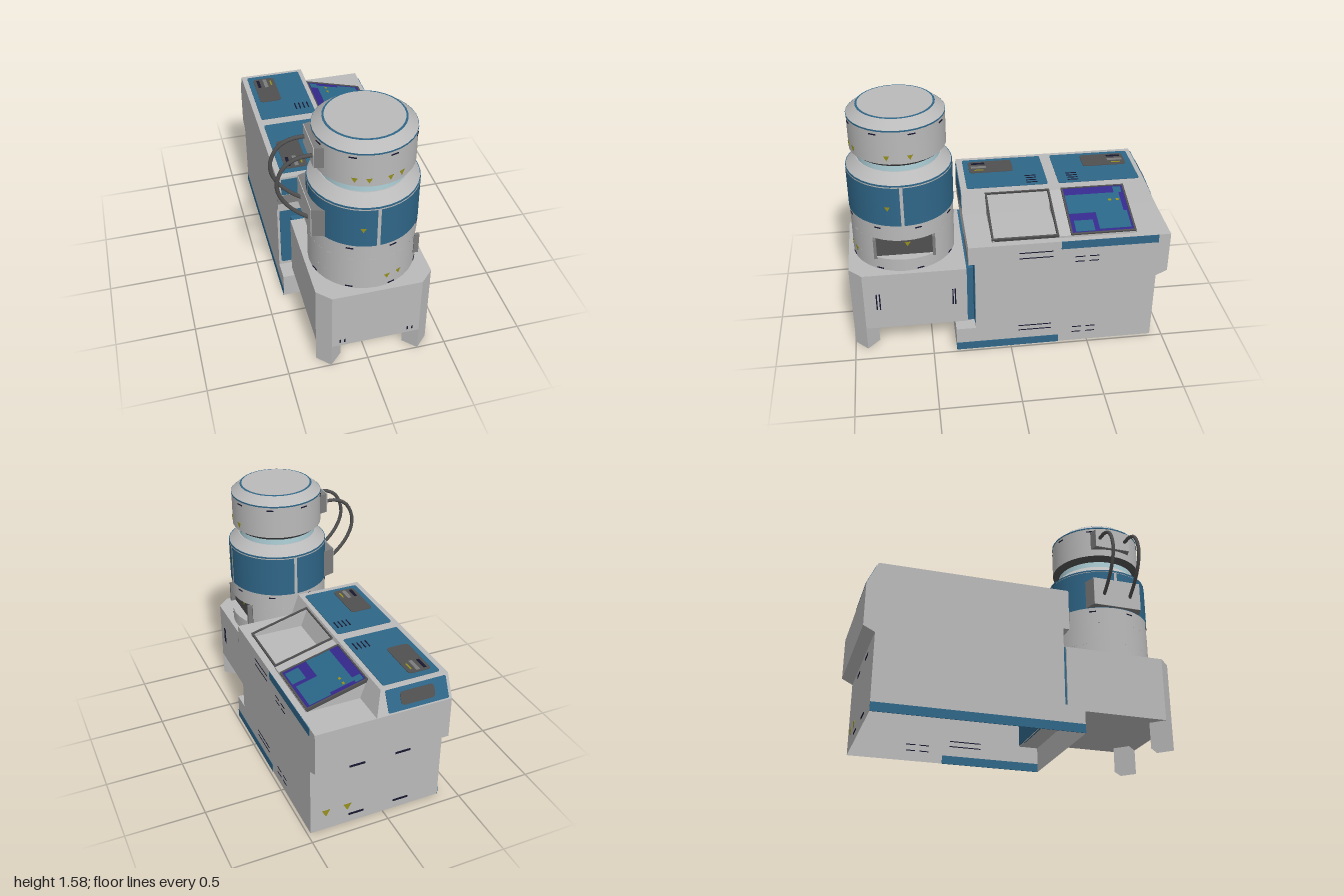
import * as THREE from 'three';

const mat = (name, color, side = THREE.FrontSide) => {
  const m = new THREE.MeshStandardMaterial({ color, side });
  m.name = name;
  return m;
};

export function createModel() {
  const D = THREE.DoubleSide;
  const grey = mat('lightGrey', 0xbababa, D);
  const mid = mat('midGrey', 0x7c7c7c);
  const dark = mat('darkGrey', 0x505050, D);
  const blue = mat('panelBlue', 0x2f6688, D);
  const cyan = mat('paleCyan', 0xb0d2da);
  const purple = mat('screenPurple', 0x35288c);
  const teal = mat('screenTeal', 0x2a6688);
  const yellow = mat('warningYellow', 0x96901c);
  const navy = mat('ventNavy', 0x17172f);

  const root = new THREE.Group();
  root.name = 'labMachine';
  const add = (name, geo, m, parent = root) => {
    const mesh = new THREE.Mesh(geo, m);
    mesh.name = name;
    parent.add(mesh);
    return mesh;
  };
  // Box given by its extents
  const box = (name, x0, x1, y0, y1, z0, z1, m, parent) => {
    const b = add(name, new THREE.BoxGeometry(x1 - x0, y1 - y0, z1 - z0), m, parent);
    b.position.set((x0 + x1) / 2, (y0 + y1) / 2, (z0 + z1) / 2);
    return b;
  };
  // Thin rounded plate, facing local +z
  const plate = (name, w, h, r, m, parent) => {
    const s = new THREE.Shape(), a = w / 2, b = h / 2;
    s.moveTo(-a + r, -b).lineTo(a - r, -b).quadraticCurveTo(a, -b, a, -b + r);
    s.lineTo(a, b - r).quadraticCurveTo(a, b, a - r, b);
    s.lineTo(-a + r, b).quadraticCurveTo(-a, b, -a, b - r);
    s.lineTo(-a, -b + r).quadraticCurveTo(-a, -b, -a + r, -b);
    return add(name, new THREE.ExtrudeGeometry(s, { depth: 0.004, bevelEnabled: false, curveSegments: 4 }), m, parent);
  };
  const topPlate = (name, x0, x1, z0, z1, y, r, m) => {
    const p = plate(name, x1 - x0, z1 - z0, r, m);
    p.rotation.x = -Math.PI / 2;
    p.position.set((x0 + x1) / 2, y, (z0 + z1) / 2);
  };
  const prism = (pts, y0, y1) => {
    const g = new THREE.ExtrudeGeometry(new THREE.Shape(pts.map(([x, z]) => new THREE.Vector2(x, -z))),
      { depth: y1 - y0, bevelEnabled: false });
    return g.rotateX(-Math.PI / 2).translate(0, y0, 0);
  };

  // Cabinet shell, open underneath
  const prof = [[0.35, 0], [0.35, 0.165], [0.225, 0.165], [0.225, 0.66], [0.265, 0.66],
    [0.265, 0.785], [-0.995, 0.785], [-0.995, 0.51], [-0.925, 0.475], [-0.925, 0]];
  const L = -0.385, R = 0.48;
  const wall = [];
  for (let i = 0; i < prof.length - 1; i++) {
    const [z0, y0] = prof[i], [z1, y1] = prof[i + 1];
    wall.push(L, y0, z0, R, y0, z0, R, y1, z1, L, y0, z0, R, y1, z1, L, y1, z1);
  }
  const wallGeo = new THREE.BufferGeometry();
  wallGeo.setAttribute('position', new THREE.Float32BufferAttribute(wall, 3));
  wallGeo.computeVertexNormals();
  add('cabinetWalls', wallGeo, grey);
  const sideShape = new THREE.Shape(prof.map(([z, y]) => new THREE.Vector2(z, y)));
  for (const x of [L, R]) {
    add('cabinetSide', new THREE.ShapeGeometry(sideShape).rotateY(-Math.PI / 2), grey).position.x = x;
  }
  // Cabinet blue trim
  const front = plate('frontPanel', 0.835, 0.46, 0.02, blue);
  front.position.set(0.0475, 0.42, 0.225);
  box('innerFrontPanel', L + 0.01, R - 0.01, 0.17, 0.65, 0.218, 0.223, blue);
  box('rightBaseStrip', R - 0.002, R + 0.003, 0, 0.055, -0.31, 0.35, blue);
  box('rightTopStrip', R - 0.002, R + 0.003, 0.73, 0.785, -0.92, -0.31, blue);
  box('leftBaseStrip', L - 0.003, L + 0.002, 0, 0.055, -0.925, 0.35, blue);
  box('frontBandLeft', L, -0.1, 0.72, 0.785, 0.264, 0.268, mid);
  box('frontBandRight', 0.2, R, 0.66, 0.72, 0.264, 0.268, mid);

  // Raised console with sloping right side and back
  const con = new THREE.BoxGeometry(1, 1, 1), cp = con.attributes.position;
  for (let i = 0; i < cp.count; i++) {
    const low = cp.getY(i) < 0;
    cp.setXYZ(i, cp.getX(i) < 0 ? L : low ? 0.1 : 0.05, low ? 0.785 : 0.925,
      cp.getZ(i) > 0 ? 0.265 : low ? -0.995 : -0.93);
  }
  con.computeVertexNormals();
  add('console', con, grey);
  const cf = plate('consoleFrontPanel', 0.39, 0.12, 0.01, blue);
  cf.position.set(-0.165, 0.85, 0.265);
  topPlate('consolePanel', -0.35, 0.02, -0.3, 0.225, 0.925, 0.015, blue);
  topPlate('consolePanel', -0.35, 0.02, -0.9, -0.37, 0.925, 0.015, blue);
  for (const z of [-0.715, 0.045]) {
    topPlate('controlInset', -0.315, -0.17, z - 0.145, z + 0.145, 0.929, 0.025, dark);
    const e = z < 0 ? -0.08 : 0.08;
    box('yellowMark', -0.205, -0.195, 0.93, 0.935, z + e - 0.03, z + e + 0.03, yellow);
    box('controlSlot', -0.295, -0.275, 0.93, 0.935, z + e - 0.045, z + e + 0.045, navy);
    box('controlBar', -0.25, -0.225, 0.93, 0.935, z + e - 0.05, z + e + 0.05, mid);
  }
  for (const z of [-0.47, -0.2]) for (let i = 0; i < 4; i++) {
    box('topVent', -0.1 + i * 0.028, -0.092 + i * 0.028, 0.926, 0.931, z - 0.035, z + 0.035, navy);
  }
  const back = new THREE.Group();
  back.name = 'backSlopePanel';
  back.position.set(-0.17, 0.855, -0.9625);
  back.rotation.x = Math.atan2(-0.42, -0.907);
  root.add(back);
  plate('backPanel', 0.39, 0.135, 0.01, blue, back);
  const bi = plate('backInset', 0.22, 0.08, 0.025, dark, back);
  bi.position.z = 0.004;

  // Tilted desk: wedge cheeks, tray frame and display
  const wedge = new THREE.Shape([[0.05, 0.78], [0.44, 0.78], [0.44, 0.798], [0.05, 0.903]].map(p => new THREE.Vector2(...p)));
  const cheek = (z0, z1) => add('deskCheek', new THREE.ExtrudeGeometry(wedge, { depth: z1 - z0, bevelEnabled: false }), grey).position.z = z0;
  cheek(-0.78, -0.3);
  cheek(0.1, 0.112);
  const desk = new THREE.Group();
  desk.name = 'tiltedDesk';
  desk.position.set(0.245, 0.852, 0);
  desk.rotation.z = -Math.atan2(0.105, 0.39);
  root.add(desk);
  for (const [z0, z1] of [[-0.785, -0.375], [-0.3, 0.115]]) {
    for (const x of [-0.202, 0.19]) box('deskFrame', x, x + 0.012, -0.012, 0.008, z0, z1, dark, desk);
    for (const z of [z0, z1 - 0.012]) box('deskFrame', -0.202, 0.202, -0.012, 0.008, z, z + 0.012, dark, desk);
  }
  box('display', -0.19, 0.19, -0.004, 0.004, -0.773, -0.387, purple, desk);
  for (const [x0, x1, z0, z1] of [[-0.13, 0.03, -0.74, -0.39], [0.03, 0.17, -0.76, -0.56], [0.09, 0.18, -0.53, -0.41], [-0.18, -0.13, -0.76, -0.71]]) {
    box('displayArea', x0, x1, 0.002, 0.006, z0, z1, teal, desk);
  }
  for (const z of [-0.72, -0.67]) box('displayMark', -0.075, -0.06, 0.004, 0.008, z - 0.01, z + 0.01, yellow, desk);

  // Pedestal with chamfered front corners, and two hollow corner legs
  add('pedestal', prism([[-0.31, 0.27], [-0.31, 0.92], [-0.23, 1], [0.32, 1], [0.4, 0.92], [0.4, 0.27]], 0.165, 0.575), grey);
  box('pedestalJoint', -0.3, 0.39, 0.165, 0.575, 0.226, 0.271, blue);
  for (const s of [-1, 1]) {
    const leg = new THREE.CylinderGeometry(0.078, 0.078, 0.165, 4, 1, true).toNonIndexed();
    leg.computeVertexNormals();
    add('leg', leg, grey).position.set(0.045 + s * 0.277, 0.0825, 0.921);
  }

  // Column
  const col = new THREE.Group();
  col.name = 'column';
  col.position.set(0.045, 0, 0.643);
  root.add(col);
  const N = 32, r = 0.325, half = Math.asin(0.19 / r);
  const ring = (name, r0, r1, y0, y1, m, start = 0, len = Math.PI * 2, open = false) => {
    const c = add(name, new THREE.CylinderGeometry(r1, r0, y1 - y0, N, 1, open, start, len), m, col);
    c.position.y = (y0 + y1) / 2;
  };
  ring('columnFoot', r, r, 0.575, 0.66, grey);
  ring('columnMiddle', r, r, 0.66, 0.8, grey, Math.PI / 2 + half, Math.PI * 2 - 2 * half, true);
  ring('columnBody', r, r, 0.8, 1.18, grey);
  for (let i = 0; i < 4; i++) {
    ring('columnPanel', r + 0.003, r + 0.003, 0.907, 1.17, blue, i * Math.PI / 2 + 0.03, Math.PI / 2 - 0.06, true);
  }
  ring('blueLine', r + 0.002, r + 0.002, 1.176, 1.186, blue);
  ring('shoulder', r, 0.262, 1.184, 1.245, grey);
  ring('neck', 0.255, 0.255, 1.24, 1.29, cyan);
  ring('headUnderside', 0.262, 0.295, 1.285, 1.312, dark);
  ring('head', 0.295, 0.295, 1.312, 1.53, grey);
  ring('headLine', 0.297, 0.297, 1.521, 1.53, blue);
  ring('headBevel', 0.295, 0.238, 1.53, 1.578, grey);
  ring('capLine', 0.24, 0.236, 1.574, 1.58, blue);
  ring('cap', 0.225, 0.225, 1.57, 1.582, grey);

  // Flat recess on the column's side
  box('recessBack', 0.25, 0.266, 0.66, 0.8, -0.19, 0.19, dark, col);
  for (const z of [-0.19, 0.172]) box('recessBar', 0.26, 0.298, 0.66, 0.8, z, z + 0.018, mid, col);

  // Tapered cable ports and two cables
  const port = (x0, x1, y0, y1, hz) => {
    const g = new THREE.BoxGeometry(x1 - x0, y1 - y0, 2 * hz), p = g.attributes.position;
    for (let i = 0; i < p.count; i++) if (p.getX(i) < 0) p.setZ(i, p.getZ(i) * 0.85);
    g.computeVertexNormals();
    add('cablePort', g, mid).position.set((x0 + x1) / 2, (y0 + y1) / 2, 0.64);
    box('portFace', x0 - 0.004, x0 + 0.002, y0, y1, 0.64 - hz * 0.85, 0.64 + hz * 0.85, grey);
  };
  port(-0.27, -0.19, 1.36, 1.49, 0.14);
  port(-0.3, -0.215, 0.91, 1.1, 0.19);
  for (const z of [0.55, 0.73]) {
    const path = new THREE.CatmullRomCurve3([[-0.26, 1.425], [-0.35, 1.42], [-0.425, 1.38], [-0.47, 1.29],
      [-0.47, 1.21], [-0.43, 1.12], [-0.36, 1.04], [-0.29, 0.985]].map(([x, y]) => new THREE.Vector3(x, y, z)));
    add('cable', new THREE.TubeGeometry(path, 18, 0.012, 8), dark);
  }

  // Warning triangles and small vents around the column
  const onColumn = (name, a, y, rad, geo, m) => {
    const t = add(name, geo, m, col);
    t.position.set(Math.sin(a) * rad, y, Math.cos(a) * rad);
    t.rotation.y = a;
  };
  const tri = () => new THREE.CylinderGeometry(0.02, 0.02, 0.006, 3).rotateX(-Math.PI / 2).rotateZ(Math.PI);
  for (const [a, y, rad] of [[-0.27, 1.03, r + 0.003], [1.3, 1.03, r + 0.003], [0.19, 0.65, r], [0.44, 0.65, r],
    [-0.46, 1.355, 0.295], [-0.19, 1.355, 0.295], [0.22, 1.355, 0.295], [0.48, 1.355, 0.295], [1.33, 1.355, 0.295],
    [1.8, 1.355, 0.295]]) onColumn('warningTriangle', a, y, rad - 0.001, tri(), yellow);
  for (let i = 0; i < 8; i++) for (const [y, rad] of [[0.585, r], [0.882, r], [1.5, 0.295]]) {
    onColumn('columnVent', i * Math.PI / 4 - 0.5, y, rad - 0.001, new THREE.BoxGeometry(0.045, 0.007, 0.006), navy);
  }
  add('warningTriangle', tri().rotateY(Math.PI / 2), yellow, col).position.set(0.267, 0.74, -0.02);

  // Vents on the cabinet's side and back, and on the pedestal
  for (const [z0, z1, ys] of [[-0.26, -0.05, [0.72, 0.68, 0.155, 0.12]], [-0.46, -0.4, [0.665, 0.63, 0.11, 0.07]],
    [-0.55, -0.49, [0.665, 0.63, 0.11, 0.07]]]) {
    for (const y of ys) box('sideVent', R - 0.002, R + 0.002, y - 0.003, y + 0.003, z0, z1, navy);
  }
  for (const x of [0.18, -0.12]) for (const y of [0.06, 0.43]) {
    box('backVent', x - 0.05, x + 0.05, y - 0.007, y + 0.007, -0.928, -0.923, navy);
  }
  for (const x of [0.38, 0.24]) {
    const t = add('warningTriangle', tri().scale(1.5, 1.5, 1), yellow);
    t.position.set(x, 0.13, -0.925);
  }
  for (const z of [0.36, 0.345, 0.84, 0.82]) {
    box('pedestalVent', 0.398, 0.403, 0.31, 0.43, z - 0.004, z + 0.004, navy);
  }
  for (const x of [-0.18, -0.15, 0.245, 0.275]) box('pedestalVent', x - 0.004, x + 0.004, 0.19, 0.215, 0.998, 1.002, navy);
  return root;
}
